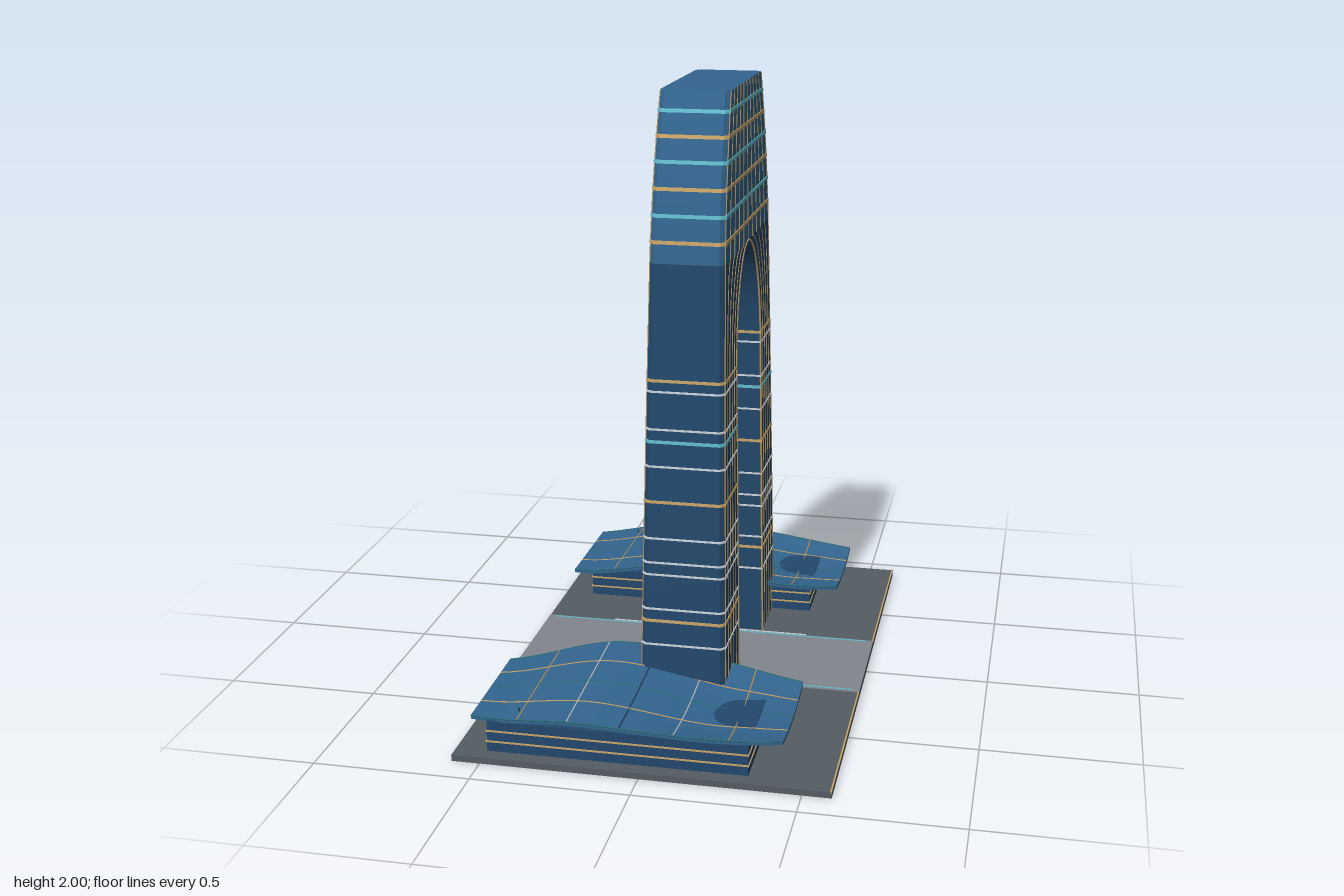
import * as THREE from 'three';
import { toCreasedNormals } from 'three/addons/utils/BufferGeometryUtils.js';

const mat = (name, color) => Object.assign(new THREE.MeshStandardMaterial({ color }), { name });
const M = {
  glass: mat('blue glass', 0x33658f),
  navy: mat('navy glass', 0x23486c),
  paving: mat('dark paving', 0x555c63),
  plaza: mat('light paving', 0x82878d),
  gold: mat('gold trim', 0xc9a468),
  cyan: mat('cyan light', 0x62bccd),
  white: mat('pale trim', 0xccd2d8),
  teal: mat('teal trim', 0x2c7079),
};

const SPRING = 1.1, APEX = 1.485, TOP = 2, CHAMFER = 0.015;
const V = (x, y, z) => new THREE.Vector3(x, y, z);

function add(parent, name, geometry, material, x = 0, y = 0, z = 0) {
  const mesh = new THREE.Mesh(geometry, material);
  mesh.name = name;
  mesh.position.set(x, y, z);
  parent.add(mesh);
  return mesh;
}
function box(parent, name, w, h, d, material, x, y, z) {
  return add(parent, name, new THREE.BoxGeometry(w, h, d), material, x, y, z);
}
// Thin trim running along a list of points
function line(parent, name, points, material, r = 0.0025) {
  const curve = new THREE.CatmullRomCurve3(points);
  return add(parent, name, new THREE.TubeGeometry(curve, points.length * 2, r, 4), material);
}

// Tower outline by height: half width, outer face, inner face of the arch
const halfX = (y) => 0.14 - 0.015 * y;
function outerZ(y) {
  if (y < APEX) { const u = y / APEX; return 0.485 - 0.04 * u - 0.035 * u * u; }
  const u = (y - APEX) / (TOP - APEX);
  return 0.41 - 0.05 * u - 0.078 * u * u;
}
function innerZ(y) {
  if (y < SPRING) return 0.235 - 0.007 * y / SPRING;
  const u = Math.min(1, (y - SPRING) / (APEX - SPRING));
  return 0.228 * Math.sqrt(1 - u * u);
}

// Horizontal sections, grown outward by o
function legSection(y, o = 0) {
  const h = halfX(y) + o, z = outerZ(y) + o, i = innerZ(y) - o, c = CHAMFER;
  return [[-h + c, z], [h - c, z], [h, z - c], [h, i], [-h, i], [-h, z - c]].map(([x, q]) => V(x, y, q));
}
function crownSection(y, o = 0) {
  const h = halfX(y) + o, z = outerZ(y) + o, c = CHAMFER;
  return [[-h + c, z], [h - c, z], [h, z - c], [h, c - z], [h - c, -z], [c - h, -z], [-h, c - z], [-h, z - c]]
    .map(([x, q]) => V(x, y, q));
}

// Closed solid from stacked sections
function loft(rows) {
  const n = rows[0].length, pos = [];
  const tri = (...p) => p.forEach((v) => pos.push(v.x, v.y, v.z));
  for (let i = 0; i + 1 < rows.length; i++) {
    for (let j = 0; j < n; j++) {
      const k = (j + 1) % n;
      tri(rows[i][j], rows[i][k], rows[i + 1][k]);
      tri(rows[i][j], rows[i + 1][k], rows[i + 1][j]);
    }
  }
  const lo = rows[0], hi = rows[rows.length - 1];
  for (let j = 1; j + 1 < n; j++) {
    tri(hi[0], hi[j], hi[j + 1]);
    tri(lo[0], lo[j + 1], lo[j]);
  }
  const g = new THREE.BufferGeometry();
  g.setAttribute('position', new THREE.Float32BufferAttribute(pos, 3));
  g.computeVertexNormals();
  return toCreasedNormals(g, 0.5);
}
const band = (section, y, t) => loft([section(y - t / 2, 0.003), section(y + t / 2, 0.003)]);

function createLeg() {
  const leg = new THREE.Group();
  leg.name = 'leg';
  const ys = [];
  for (let i = 0; i <= 8; i++) ys.push(0.02 + (SPRING - 0.02) * i / 8);
  for (let i = 1; i <= 18; i++) ys.push(SPRING + (APEX - SPRING) * Math.sin(i / 18 * Math.PI / 2));
  add(leg, 'legShaft', loft(ys.map((y) => legSection(y))), M.navy);

  // Floor bands
  const floors = [
    [M.gold, 0.009, [1.12, 0.73, 0.335]],
    [M.cyan, 0.01, [0.925]],
    [M.white, 0.006, [1.085, 0.965, 0.845, 0.61, 0.53, 0.49, 0.375, 0.255]],
  ];
  for (const [m, t, list] of floors) for (const y of list) add(leg, 'floorBand', band(legSection, y, t), m);

  // Mullions fanning out from the arch
  for (const side of [-1, 1]) {
    for (let k = 0; k <= 5; k++) {
      const points = ys.map((y) => {
        const a = innerZ(y), b = outerZ(y) - CHAMFER;
        return V(side * halfX(y), y, a + (b - a) * k / 5);
      });
      line(leg, 'legMullion', points, M.gold, k === 0 ? 0.0035 : 0.0022);
    }
  }
  return leg;
}

function createTower() {
  const tower = new THREE.Group();
  tower.name = 'archTower';
  const front = createLeg(), back = createLeg();
  back.rotation.y = Math.PI;
  tower.add(front, back);

  // Curved crown over the arch
  const ys = Array.from({ length: 13 }, (_, i) => APEX + (TOP - APEX) * i / 12);
  add(tower, 'crown', loft(ys.map((y) => crownSection(y))), M.glass);
  [1.55, 1.63, 1.71, 1.79, 1.865, 1.94].forEach((y, i) =>
    add(tower, 'crownBand', band(crownSection, y, 0.011), i % 2 ? M.cyan : M.gold));
  for (const side of [-1, 1]) {
    for (let k = -5; k <= 5; k++) {
      const points = ys.map((y) => V(side * halfX(y), y, (outerZ(y) - CHAMFER) * k / 5));
      line(tower, 'crownMullion', points, M.gold, 0.0022);
    }
  }
  return tower;
}

// Canopy surface: x along, v from -1 (tower edge) to 1 (outer edge)
const canopyWidth = (x) => 0.28 - 0.075 * ((x + 0.06) / 0.49) ** 2;
function canopyY(x, v) {
  const s = (x + 0.17) / (x < -0.17 ? 0.38 : 0.6);
  const r = Math.cos(s * Math.PI / 2) ** 2, drop = x < -0.17 ? 0.01 * s * s : 0;
  const inner = 0.135 + 0.055 * r, outer = 0.13 + 0.032 * r;
  const sag = 0.0275 * THREE.MathUtils.smoothstep(x, -0.2, 0.19)
    * (1 - 0.3 * THREE.MathUtils.smoothstep(x, 0.19, 0.34));
  return inner + (outer - inner) * (v + 1) / 2 - sag * (1 - v * v) - drop;
}

function createPavilion(side) {
  const g = new THREE.Group();
  g.name = 'pavilion';
  const cz = 0.615 * side;
  box(g, 'podium', 0.82, 0.1, 0.41, M.navy, -0.08, 0.07, 0.645 * side);
  for (const y of [0.053, 0.088]) box(g, 'podiumBand', 0.826, 0.005, 0.416, M.gold, -0.08, y, 0.645 * side);
  for (const x of [-0.4, -0.17]) {
    add(g, 'canopyPost', new THREE.CylinderGeometry(0.003, 0.003, 0.035, 6), M.navy, x, 0.132, 0.8 * side);
  }

  // Warped canopy sheet
  const sheet = new THREE.BoxGeometry(0.98, 1, 2, 40, 1, 20), p = sheet.attributes.position;
  for (let i = 0; i < p.count; i++) {
    const x = p.getX(i) - 0.06, w = p.getZ(i);
    p.setXYZ(i, x, canopyY(x, w * side) - (p.getY(i) < 0 ? 0.012 : 0), cz + w * canopyWidth(x));
  }
  sheet.computeVertexNormals();
  add(g, 'canopy', sheet, M.glass);

  // Canopy seams
  const at = (x, v) => V(x, canopyY(x, v), cz + side * v * canopyWidth(x));
  const steps = Array.from({ length: 21 }, (_, i) => i / 20);
  for (const [v, m] of [[-1, M.teal], [-0.5, M.gold], [0, M.teal], [0.5, M.gold], [1, M.teal]]) {
    line(g, 'canopySeam', steps.map((t) => at(-0.55 + 0.98 * t, v)), m);
  }
  for (const [x, m] of [[-0.39, M.gold], [-0.225, M.white], [-0.06, M.navy], [0.105, M.white], [0.27, M.gold]]) {
    line(g, 'canopyRib', steps.map((t) => at(x, 2 * t - 1)), m);
  }
  return g;
}

export function createModel() {
  const model = new THREE.Group();
  model.name = 'archBuilding';

  // Ground slab with a light central plaza
  box(model, 'groundSlab', 1.18, 0.02, 1.8, M.paving, 0, 0.01, 0);
  box(model, 'plaza', 1.18, 0.004, 0.42, M.plaza, 0, 0.021, 0);
  box(model, 'slabEdge', 0.005, 0.005, 1.8, M.gold, 0.5875, 0.0195, 0);
  for (const side of [-1, 1]) {
    box(model, 'plazaLight', 1.13, 0.003, 0.005, M.cyan, 0, 0.0235, 0.2 * side);
    box(model, 'plazaTrim', 0.7, 0.004, 0.005, M.white, 0, 0.0215, 0.217 * side);
    model.add(createPavilion(side));
  }

  const tower = createTower();
  tower.position.x = 0.05;
  model.add(tower);
  return model;
}
